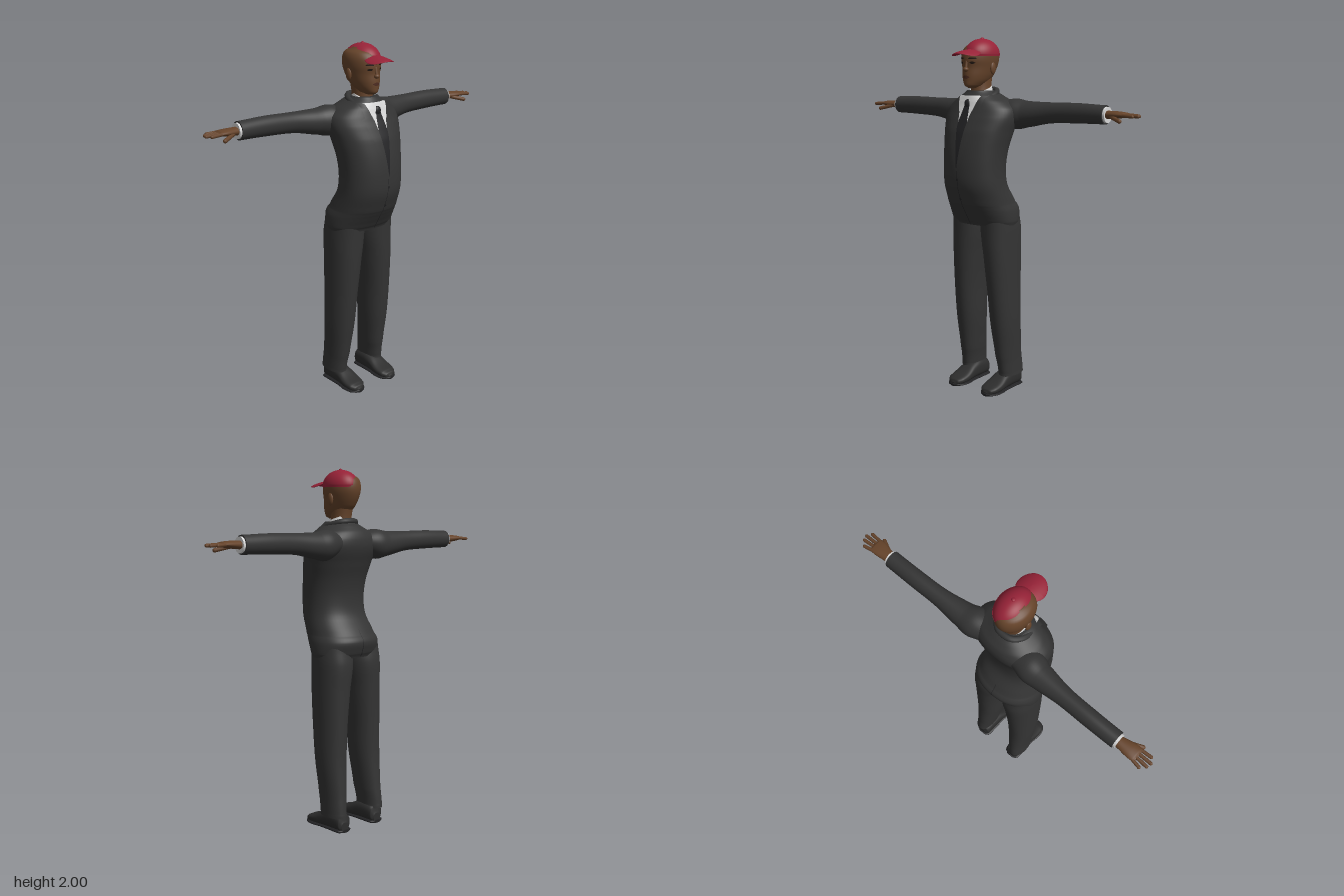
import * as THREE from 'three';

const mat = (name, color) => Object.assign(new THREE.MeshStandardMaterial({ color }), { name });

// Smooth extra cross-sections between the given ones.
function refine(sections, steps = 5) {
  const out = [], last = sections.length - 1;
  const at = i => sections[Math.max(0, Math.min(last, i))];
  for (let i = 0; i < last; i++) {
    for (let s = 0; s < steps; s++) {
      const t = s / steps;
      out.push(at(i).map((p1, k) => {
        if (k === 0) return p1 + (at(i + 1)[0] - p1) * t;
        const p0 = at(i - 1)[k], p2 = at(i + 1)[k], p3 = at(i + 2)[k];
        return p1 + 0.5 * t * (p2 - p0 + t * (2 * p0 - 5 * p1 + 4 * p2 - p3 + t * (3 * (p1 - p2) + p3 - p0)));
      }));
    }
  }
  out.push(sections[last]);
  return out;
}

// Closed skin over sections [t, centreA, centreB, radiusA, radiusB] along an axis.
function loft(sections, axis = 'y', n = 2, seg = 40) {
  const rings = refine(sections), pos = [], idx = [];
  const put = (t, a, b) => pos.push(...(axis === 'x' ? [t, a, b] : axis === 'y' ? [a, t, b] : [a, b, t]));
  const tri = (a, b, c) => (axis === 'y' ? idx.push(a, c, b) : idx.push(a, b, c));
  const pow = v => Math.sign(v) * Math.abs(v) ** (2 / n);
  const ring = ([t, a, b, ra, rb]) => {
    for (let j = 0; j < seg; j++) {
      const w = (j / seg) * Math.PI * 2;
      put(t, a + ra * pow(Math.cos(w)), b + rb * pow(Math.sin(w)));
    }
  };
  rings.forEach(ring);
  for (let i = 0; i < rings.length - 1; i++) for (let j = 0; j < seg; j++) {
    const k = (j + 1) % seg, p = i * seg, q = p + seg;
    tri(p + j, p + k, q + k);
    tri(p + j, q + k, q + j);
  }
  [rings[0], rings[rings.length - 1]].forEach((r, end) => {
    const base = pos.length / 3;
    ring(r);
    put(r[0], r[1], r[2]);
    for (let j = 0; j < seg; j++) {
      const k = (j + 1) % seg;
      if (end) tri(base + seg, base + j, base + k);
      else tri(base + seg, base + k, base + j);
    }
  });
  return finish(pos, idx);
}

function finish(pos, idx) {
  const g = new THREE.BufferGeometry();
  g.setAttribute('position', new THREE.Float32BufferAttribute(pos, 3));
  g.setIndex(idx);
  g.computeVertexNormals();
  return g;
}

// Thin sheet lying on a body; rows are [y, xLeft, xRight] from low to high.
function patch(body, n, rows, offset, face = 1) {
  const rings = refine(body), pos = [], idx = [], nx = 8, ny = 28;
  const lerpRow = (list, y) => {
    let i = 0;
    while (i < list.length - 2 && list[i + 1][0] < y) i++;
    const t = (y - list[i][0]) / (list[i + 1][0] - list[i][0]);
    return list[i].map((v, k) => v + (list[i + 1][k] - v) * t);
  };
  for (let i = 0; i <= ny; i++) {
    const y = rows[0][0] + (rows[rows.length - 1][0] - rows[0][0]) * i / ny;
    const [, l, r] = lerpRow(rows, y), [, cx, cz, rx, rz] = lerpRow(rings, y);
    for (let j = 0; j <= nx; j++) {
      const x = l + (r - l) * j / nx, d = Math.min(1, Math.abs((x - cx) / rx));
      pos.push(x, y, cz + face * (rz * (1 - d ** n) ** (1 / n) + offset));
      if (i < ny && j < nx) {
        const a = i * (nx + 1) + j, b = a + 1, c = b + nx + 1, e = a + nx + 1;
        idx.push(...(face > 0 ? [a, b, c, a, c, e] : [a, c, b, a, e, c]));
      }
    }
  }
  return finish(pos, idx);
}

// [y, front, back, halfWidth] to a loft section
const body = (rows, cx = 0) => rows.map(([y, f, b, w]) => [y, cx, (f + b) / 2, w, (f - b) / 2]);

export function createModel() {
  const suit = mat('suit', 0x343434), tieMat = mat('tie', 0x222224), shirt = mat('shirt', 0xd8d8d8);
  const skin = mat('skin', 0x65432a), red = mat('cap', 0x962237), shoeMat = mat('shoe', 0x2d2d2d);
  const dark = mat('eyes', 0x1e1510), lip = mat('lips', 0x4c2b20);
  const model = new THREE.Group();
  const add = (name, geo, material, parent = model) => {
    const m = new THREE.Mesh(geo, material);
    m.name = name;
    parent.add(m);
    return m;
  };
  const pair = (name, geo, material) => {
    add(name + 'Left', geo, material);
    add(name + 'Right', geo, material).scale.x = -1;
  };
  const ball = (x, y, z, a, b, c) => new THREE.SphereGeometry(1, 24, 16).scale(a, b, c).translate(x, y, z);
  const bone = (p, q, r) => {
    const a = new THREE.Vector3(...p), d = new THREE.Vector3(...q).sub(a);
    return new THREE.CapsuleGeometry(r, d.length(), 5, 10)
      .applyQuaternion(new THREE.Quaternion().setFromUnitVectors(new THREE.Vector3(0, 1, 0), d.clone().normalize()))
      .translate(...a.addScaledVector(d, 0.5).toArray());
  };

  // Jacket
  const torso = body([[0.975, 0.085, -0.172, 0.2], [1.0, 0.1, -0.185, 0.206], [1.06, 0.135, -0.2, 0.203],
    [1.1, 0.16, -0.175, 0.193], [1.2, 0.195, -0.11, 0.182], [1.3, 0.2, -0.096, 0.18], [1.4, 0.19, -0.11, 0.188],
    [1.5, 0.168, -0.142, 0.206], [1.57, 0.14, -0.165, 0.22], [1.62, 0.118, -0.165, 0.21],
    [1.66, 0.105, -0.15, 0.165], [1.69, 0.095, -0.12, 0.11], [1.715, 0.08, -0.09, 0.075]]);
  const N = 2.2;
  add('jacket', loft(torso, 'y', N, 56), suit);
  pair('sleeve', loft([[0.1, 1.6, -0.08, 0.06, 0.07], [0.18, 1.59, -0.085, 0.083, 0.085],
    [0.25, 1.59, -0.095, 0.072, 0.07], [0.4, 1.603, -0.105, 0.056, 0.05], [0.57, 1.608, -0.11, 0.053, 0.047],
    [0.74, 1.607, -0.11, 0.049, 0.046]], 'x'), suit);
  pair('lapel', patch(torso, N, [[1.29, 0, 0.006], [1.45, 0.019, 0.062], [1.58, 0.037, 0.1], [1.605, 0.042, 0.118],
    [1.61, 0.043, 0.092], [1.69, 0.07, 0.1]], 0.009), suit);
  add('jacketOpening', patch(torso, N, [[0.98, -0.004, 0], [1.29, -0.001, 0.002]], 0.002), tieMat);
  add('backVent', patch(torso, N, [[0.98, -0.003, 0.003], [1.13, -0.001, 0.001]], 0.002, -1), tieMat);
  [1.24, 1.13].forEach(y => add('jacketButton',
    patch(torso, N, [[y - 0.008, 0, 0.004], [y, -0.006, 0.01], [y + 0.008, 0, 0.004]], 0.005), tieMat));
  const collarPath = new THREE.CatmullRomCurve3([[0.088, 1.675, 0.045], [0.082, 1.7, -0.03], [0.045, 1.715, -0.078],
    [0, 1.718, -0.088], [-0.045, 1.715, -0.078], [-0.082, 1.7, -0.03], [-0.088, 1.675, 0.045]]
    .map(p => new THREE.Vector3(...p)));
  add('jacketCollar', new THREE.TubeGeometry(collarPath, 32, 0.016, 10), suit);

  // Shirt and tie
  add('shirtFront', patch(torso, N, [[1.5, -0.024, 0.024], [1.58, -0.04, 0.04], [1.69, -0.075, 0.075]], 0.004), shirt);
  const band = loft([[1.67, 0, 0.012, 0.07, 0.08], [1.7, 0, 0.01, 0.067, 0.077], [1.725, 0, 0.008, 0.062, 0.071]]);
  const bp = band.attributes.position;
  for (let i = 0; i < bp.count; i++) bp.setY(i, bp.getY(i) - 0.35 * bp.getZ(i));
  band.computeVertexNormals();
  add('shirtCollar', band, shirt);
  pair('collarWing', patch(torso, N, [[1.605, 0.04, 0.045], [1.65, 0.018, 0.06], [1.69, 0.004, 0.074]], 0.011), shirt);
  add('tie', patch(torso, N, [[1.3, -0.003, 0.003], [1.42, -0.02, 0.02], [1.54, -0.032, 0.032],
    [1.62, -0.02, 0.02], [1.64, -0.016, 0.016]], 0.007), tieMat);
  add('tieKnot', ball(0, 1.645, 0.11, 0.022, 0.026, 0.014), tieMat);
  pair('shirtCuff', loft([[0.72, 1.607, -0.11, 0.042, 0.04], [0.752, 1.607, -0.11, 0.041, 0.039]], 'x'), shirt);

  // Hands
  pair('palm', loft([[0.73, 1.607, -0.11, 0.022, 0.028], [0.77, 1.608, -0.109, 0.021, 0.033],
    [0.82, 1.61, -0.107, 0.018, 0.041], [0.855, 1.611, -0.107, 0.013, 0.041], [0.865, 1.611, -0.107, 0.006, 0.034]], 'x'), skin);
  [[-0.137, -0.148, 0.9], [-0.117, -0.122, 0.925], [-0.097, -0.097, 0.932], [-0.077, -0.071, 0.915]].forEach(([z0, z1, x]) =>
    pair('finger', bone([0.84, 1.611, z0], [x, 1.607, z1], 0.009), skin));
  pair('thumb', bone([0.785, 1.6, -0.085], [0.855, 1.582, -0.05], 0.011), skin);

  // Trousers
  pair('trouserLeg', loft([[0.085, 0.138, -0.107, 0.053, 0.089], [0.11, 0.138, -0.105, 0.052, 0.089],
    [0.2, 0.132, -0.092, 0.058, 0.092], [0.4, 0.127, -0.07, 0.073, 0.1], [0.6, 0.122, -0.06, 0.079, 0.111],
    [0.8, 0.112, -0.055, 0.09, 0.121], [0.94, 0.102, -0.055, 0.1, 0.126], [1.04, 0.1, -0.045, 0.098, 0.12]], 'y', 2.2), suit);

  // Shoes: sections along z from heel to toe
  const shoe = (rows, y0) => loft(rows.map(([z, h, w]) => [z, 0.123, y0 + h / 2, w, h / 2]), 'z', 2.6);
  pair('shoe', shoe([[-0.187, 0.05, 0.025], [-0.175, 0.09, 0.044], [-0.1, 0.105, 0.05], [-0.04, 0.09, 0.053],
    [0.02, 0.06, 0.059], [0.075, 0.042, 0.053], [0.1, 0.03, 0.035], [0.108, 0.014, 0.012]], 0.008), shoeMat);
  pair('shoeSole', shoe([[-0.192, 0.016, 0.025], [-0.178, 0.018, 0.048], [-0.1, 0.018, 0.051], [-0.03, 0.016, 0.053],
    [0.03, 0.016, 0.062], [0.08, 0.016, 0.055], [0.105, 0.016, 0.034], [0.113, 0.014, 0.012]], 0), tieMat);

  // Head
  const cx = -0.01;
  const skull = body([[1.73, 0.09, 0.02, 0.018], [1.742, 0.11, -0.025, 0.04], [1.77, 0.113, -0.065, 0.06],
    [1.8, 0.113, -0.093, 0.072], [1.84, 0.109, -0.115, 0.082], [1.88, 0.112, -0.127, 0.09],
    [1.92, 0.105, -0.125, 0.09], [1.95, 0.083, -0.108, 0.078], [1.975, 0.04, -0.06, 0.045]], cx);
  add('neck', loft([[1.66, 0, -0.005, 0.058, 0.063], [1.74, -0.005, -0.01, 0.054, 0.06],
    [1.82, cx, -0.015, 0.058, 0.066]]), skin);
  add('head', loft(skull), skin);
  add('nose', ball(cx, 1.83, 0.114, 0.016, 0.013, 0.017), skin);
  add('noseBridge', bone([cx, 1.835, 0.114], [cx, 1.87, 0.106], 0.009), skin);
  add('mouth', patch(skull, 2, [[1.78, cx - 0.01, cx + 0.01], [1.789, cx - 0.026, cx + 0.026],
    [1.797, cx - 0.008, cx + 0.008]], 0.004), lip);
  [-1, 1].forEach(s => {
    const x = cx + s * 0.036;
    add('eye', patch(skull, 2, [[1.859, x - 0.005, x + 0.005], [1.865, x - 0.015, x + 0.015],
      [1.871, x - 0.006, x + 0.006]], 0.003), dark);
    add('eyebrow', patch(skull, 2, [[1.886, x - 0.02, x + 0.02], [1.893, x - 0.016, x + 0.016]], 0.003), dark);
    add('ear', ball(cx + s * 0.086, 1.835, -0.012, 0.011, 0.033, 0.02), skin);
  });

  // Cap
  add('capCrown', new THREE.SphereGeometry(1, 40, 16, 0, Math.PI * 2, 0, Math.PI / 2)
    .scale(0.085, 0.086, 0.114).translate(0, 1.908, -0.01), red);
  add('capBand', loft([[1.9, 0, -0.01, 0.084, 0.113], [1.912, 0, -0.01, 0.0855, 0.1145]]), red);
  add('capButton', ball(0, 1.994, -0.01, 0.01, 0.006, 0.01), red);
  const brim = ball(0, 0, 0.122, 0.077, 0.008, 0.078), p = brim.attributes.position;
  for (let i = 0; i < p.count; i++) {
    p.setY(i, p.getY(i) + 1.932 - 4 * p.getX(i) ** 2 - 0.15 * (p.getZ(i) - 0.08));
  }
  brim.computeVertexNormals();
  add('capBrim', brim, red);
  return model;
}
